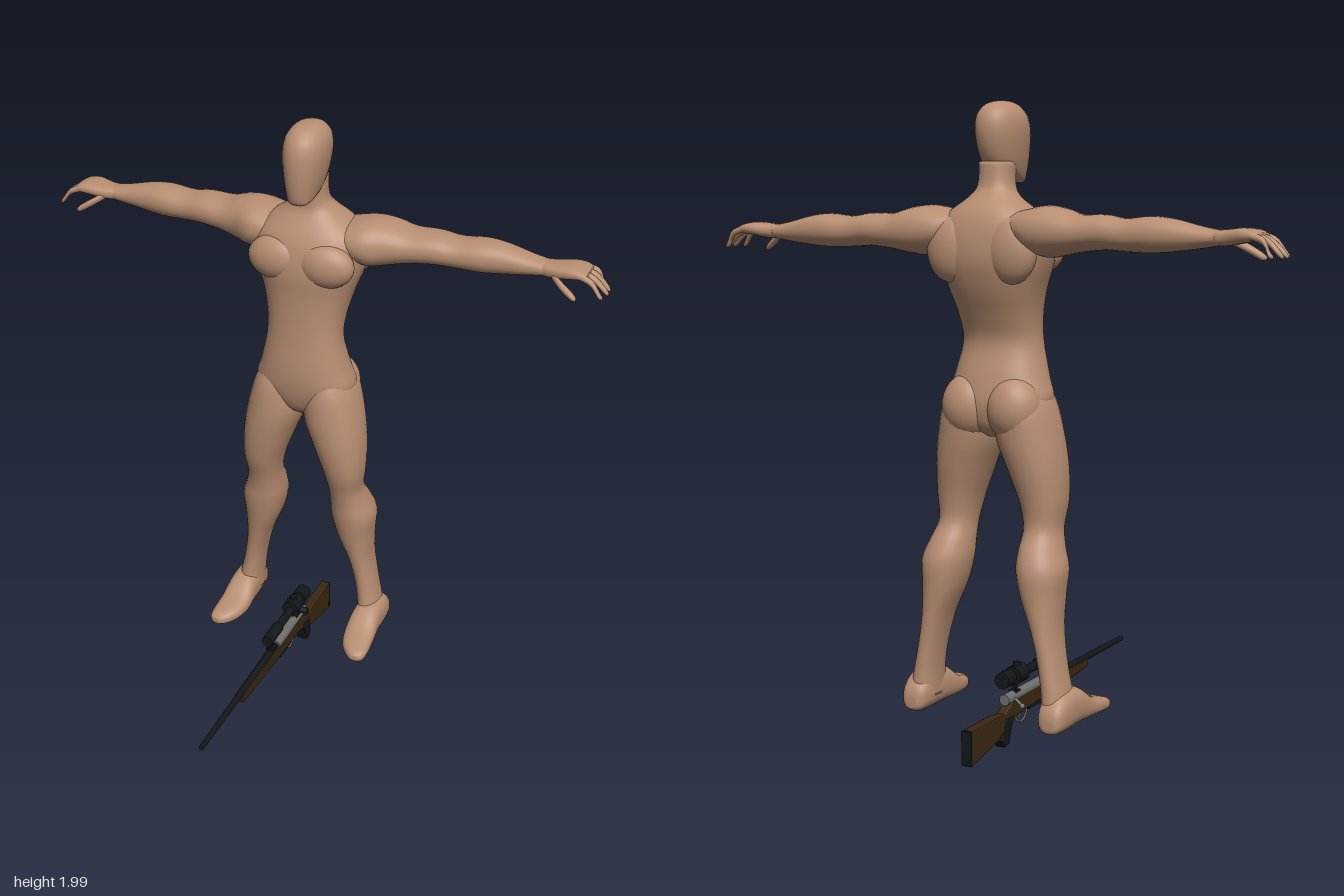
import * as THREE from 'three';

const mat = (name, color) => {
  const m = new THREE.MeshStandardMaterial({ color });
  m.name = name;
  return m;
};

const catmull = (a, b, c, d, t) =>
  b + 0.5 * t * (c - a + t * (2 * a - 5 * b + 4 * c - d + t * (3 * (b - c) + d - a)));

// Smooth closed skin through rows [position on axis, u0, u1, v0, v1].
// Axis y: u = x, v = z.  Axis x: u = y, v = z.  Axis z: u = x, v = y.
function loft(axis, rows, { mirror = 1, n = 2.2, sides = 28, steps = 4 } = {}) {
  const place = {
    x: (p, u, v) => [p, u, v],
    y: (p, u, v) => [u, p, v],
    z: (p, u, v) => [u, v, p],
  }[axis];
  const at = (i) => rows[Math.max(0, Math.min(rows.length - 1, i))];
  const pos = [], index = [];
  const push = (p, u, v) => {
    const q = place(p, u, v);
    pos.push(q[0] * mirror, q[1], q[2]);
  };
  const rings = (rows.length - 1) * steps + 1;
  for (let r = 0; r < rings; r++) {
    const i = Math.min(Math.floor(r / steps), rows.length - 2), t = r / steps - i;
    const [p, u0, u1, v0, v1] = at(i).map((_, k) => catmull(at(i - 1)[k], at(i)[k], at(i + 1)[k], at(i + 2)[k], t));
    for (let s = 0; s < sides; s++) {
      const a = (s / sides) * Math.PI * 2, c = Math.cos(a), d = Math.sin(a);
      const e = (w) => Math.sign(w) * Math.abs(w) ** (2 / n);
      push(p, (u0 + u1) / 2 + (u1 - u0) / 2 * e(c), (v0 + v1) / 2 + (v1 - v0) / 2 * e(d));
    }
  }
  for (const row of [rows[0], rows[rows.length - 1]]) push(row[0], (row[1] + row[2]) / 2, (row[3] + row[4]) / 2);
  const flip = (axis === 'y') !== (mirror < 0) !== (rows[0][0] > rows[rows.length - 1][0]);
  const tri = (a, b, c) => (flip ? index.push(a, c, b) : index.push(a, b, c));
  const last = (rings - 1) * sides, cap = rings * sides;
  for (let s = 0; s < sides; s++) {
    const s1 = (s + 1) % sides;
    for (let r = 0; r < rings - 1; r++) {
      const a = r * sides + s, b = r * sides + s1;
      tri(a, b, b + sides);
      tri(a, b + sides, a + sides);
    }
    tri(cap, s1, s);
    tri(cap + 1, last + s, last + s1);
  }
  const g = new THREE.BufferGeometry();
  g.setAttribute('position', new THREE.Float32BufferAttribute(pos, 3));
  g.setIndex(index);
  g.computeVertexNormals();
  return g;
}

export function createModel() {
  const model = new THREE.Group();
  const skin = mat('skin', 0xb88e72), wood = mat('dark wood', 0x3b2811);
  const black = mat('black metal', 0x14171a), steel = mat('steel', 0x6e6e6c);
  const figure = new THREE.Group(), rifle = new THREE.Group();
  figure.name = 'figure';
  rifle.name = 'rifle';
  model.add(figure, rifle);
  const add = (parent, name, geometry, material) => {
    const m = new THREE.Mesh(geometry, material);
    m.name = name;
    parent.add(m);
    return m;
  };
  const sym = (y, w, front, back) => [y, -w, w, back, front];

  // Head, with a plain pointed face
  add(figure, 'head', loft('y', [
    sym(1.757, 0.022, -0.195, -0.225), sym(1.767, 0.038, -0.183, -0.27), sym(1.8, 0.052, -0.175, -0.345),
    sym(1.85, 0.063, -0.171, -0.377), sym(1.91, 0.07, -0.173, -0.39), sym(1.955, 0.065, -0.187, -0.383),
    sym(1.985, 0.046, -0.218, -0.355), sym(1.997, 0.025, -0.25, -0.32), sym(2.0, 0.006, -0.275, -0.29),
  ]), skin);

  // Torso and neck
  add(figure, 'torso', loft('y', [
    sym(0.995, 0.02, -0.25, -0.36), sym(1.03, 0.09, -0.21, -0.40), sym(1.1, 0.168, -0.187, -0.415),
    sym(1.18, 0.15, -0.181, -0.4), sym(1.28, 0.128, -0.187, -0.375), sym(1.36, 0.131, -0.19, -0.4),
    sym(1.44, 0.15, -0.19, -0.435), sym(1.52, 0.178, -0.186, -0.458), sym(1.59, 0.19, -0.197, -0.458),
    sym(1.64, 0.175, -0.216, -0.448), sym(1.68, 0.13, -0.24, -0.43), sym(1.715, 0.08, -0.26, -0.4),
    sym(1.75, 0.056, -0.262, -0.375), sym(1.82, 0.052, -0.255, -0.37),
  ], { sides: 40, n: 2.3 }), skin);

  for (const [side, mirror] of [['left', 1], ['right', -1]]) {
    const part = (name, axis, rows, opts) => add(figure, side + name, loft(axis, rows, { mirror, ...opts }), skin);
    const muscle = (name, p, r) => {
      const m = add(figure, side + name, new THREE.SphereGeometry(1, 28, 18), skin);
      m.position.set(p[0] * mirror, p[1], p[2]);
      m.scale.set(...r);
      return m;
    };
    muscle('Chest', [0.082, 1.555, -0.235], [0.098, 0.075, 0.056]);
    muscle('Buttock', [0.078, 1.085, -0.355], [0.088, 0.1, 0.08]);
    muscle('ShoulderBlade', [0.1, 1.56, -0.41], [0.085, 0.1, 0.052]);

    // Leg: thigh, knee, calf and ankle
    part('Leg', 'y', [
      [1.17, 0.03, 0.135, -0.35, -0.22], [1.1, 0.008, 0.174, -0.415, -0.19], [1.0, 0.004, 0.2, -0.415, -0.18],
      [0.9, 0.04, 0.214, -0.4, -0.184], [0.8, 0.077, 0.216, -0.38, -0.2], [0.72, 0.094, 0.208, -0.375, -0.226],
      [0.66, 0.093, 0.224, -0.41, -0.24], [0.6, 0.093, 0.243, -0.434, -0.247], [0.52, 0.112, 0.238, -0.434, -0.262],
      [0.42, 0.153, 0.236, -0.43, -0.283], [0.32, 0.178, 0.25, -0.428, -0.297], [0.23, 0.19, 0.268, -0.43, -0.295],
      [0.16, 0.192, 0.28, -0.435, -0.28],
    ]);
    part('Foot', 'z', [
      [-0.45, 0.225, 0.262, 0.13, 0.165], [-0.437, 0.205, 0.28, 0.118, 0.2], [-0.39, 0.194, 0.29, 0.114, 0.235],
      [-0.3, 0.19, 0.292, 0.116, 0.235], [-0.23, 0.188, 0.297, 0.117, 0.19], [-0.17, 0.203, 0.3, 0.117, 0.17],
      [-0.133, 0.23, 0.296, 0.118, 0.158], [-0.118, 0.252, 0.28, 0.125, 0.145],
    ], { n: 2.5 });

    // Arm from inside the shoulder to the wrist
    part('Arm', 'x', [
      [0.08, 1.6, 1.67, -0.42, -0.28], [0.14, 1.56, 1.682, -0.455, -0.25], [0.2, 1.54, 1.692, -0.466, -0.248],
      [0.26, 1.545, 1.684, -0.466, -0.278], [0.32, 1.557, 1.667, -0.462, -0.298], [0.4, 1.565, 1.667, -0.46, -0.312],
      [0.47, 1.562, 1.657, -0.46, -0.326], [0.55, 1.56, 1.664, -0.463, -0.33], [0.62, 1.565, 1.657, -0.457, -0.343],
      [0.7, 1.575, 1.638, -0.445, -0.356], [0.76, 1.584, 1.627, -0.438, -0.362],
    ]);
    part('Palm', 'x', [
      [0.73, 1.585, 1.627, -0.436, -0.366], [0.78, 1.584, 1.63, -0.442, -0.352], [0.83, 1.592, 1.635, -0.455, -0.345],
      [0.865, 1.597, 1.631, -0.456, -0.345], [0.885, 1.6, 1.622, -0.45, -0.352],
    ], { n: 2.6 });

    // Digits: knuckle, middle and tip as [x, y, z]
    const digit = (name, pts, r) => part(name, 'x', pts.map(([x, y, z], i) => {
      const w = r * [0.9, 1, 0.92, 0.35][i];
      return [x, y - w, y + w, z - w, z + w];
    }), { sides: 12, n: 2 });
    [[0.93, -0.444, -0.45], [0.948, -0.414, -0.42], [0.95, -0.386, -0.388], [0.94, -0.358, -0.35]].forEach(([tip, z0, z1], i) =>
      digit('Finger' + (i + 1), [[0.85, 1.616, z0], [0.9, 1.6, (z0 + z1) / 2], [tip - 0.012, 1.567, z1], [tip, 1.557, z1]], 0.0115));
    digit('Thumb', [[0.775, 1.6, -0.368], [0.81, 1.58, -0.343], [0.85, 1.556, -0.33], [0.865, 1.55, -0.327]], 0.0135);
  }

  // Rifle lies along z, slightly off centre
  rifle.position.x = -0.008;
  const rod = (name, r0, r1, z0, z1, y, material) => {
    const m = add(rifle, name, new THREE.CylinderGeometry(r1, r0, Math.abs(z1 - z0), 20).rotateX(Math.PI / 2), material);
    m.position.set(0, y, (z0 + z1) / 2);
    return m;
  };
  const box = (name, w, h, d, y, z, material) => {
    const m = add(rifle, name, new THREE.BoxGeometry(w, h, d), material);
    m.position.set(0, y, z);
    return m;
  };
  const plate = (name, pts, width, material) => {
    const bevel = 0.006;
    const g = new THREE.ExtrudeGeometry(new THREE.Shape(pts.map((p) => new THREE.Vector2(...p))), {
      depth: width - 2 * bevel, bevelThickness: bevel, bevelSize: bevel, bevelOffset: -bevel, bevelSegments: 2,
    });
    return add(rifle, name, g.translate(0, 0, bevel - width / 2).rotateY(-Math.PI / 2), material);
  };
  plate('stock', [
    [0.24, 0.145], [-0.08, 0.148], [-0.27, 0.14], [-0.32, 0.112], [-0.37, 0.118], [-0.522, 0.118],
    [-0.522, 0.006], [-0.37, 0.038], [-0.31, 0.06], [-0.25, 0.088], [-0.1, 0.098], [0.05, 0.106], [0.24, 0.121],
  ], 0.036, wood);
  plate('grip', [[-0.265, 0.1], [-0.325, 0.1], [-0.34, 0.03], [-0.325, 0.006], [-0.3, 0.012], [-0.29, 0.05]], 0.04, black);
  box('buttPlate', 0.034, 0.108, 0.01, 0.062, -0.525, black);
  rod('barrel', 0.013, 0.009, -0.08, 0.53, 0.147, black);
  rod('receiver', 0.018, 0.018, -0.3, -0.06, 0.15, steel);
  box('magazine', 0.026, 0.02, 0.09, 0.095, -0.12, black);

  // Trigger, guard and bolt
  const guard = add(rifle, 'triggerGuard', new THREE.TorusGeometry(0.03, 0.0035, 8, 28).rotateY(Math.PI / 2), steel);
  guard.position.set(0, 0.083, -0.195);
  guard.scale.z = 1.2;
  box('trigger', 0.006, 0.03, 0.006, 0.08, -0.2, steel);
  const bolt = add(rifle, 'boltHandle', new THREE.CylinderGeometry(0.005, 0.005, 0.04, 10), steel);
  bolt.position.set(-0.026, 0.14, -0.26);
  bolt.rotation.z = -0.9;
  add(rifle, 'boltKnob', new THREE.SphereGeometry(0.009, 12, 8), steel).position.set(-0.042, 0.127, -0.26);

  // Scope with turrets and mounts
  rod('scopeObjective', 0.02, 0.02, -0.085, 0.01, 0.212, black);
  rod('scopeTube', 0.015, 0.015, -0.29, -0.06, 0.212, black);
  rod('scopeTurretHousing', 0.03, 0.03, -0.25, -0.19, 0.216, black);
  rod('scopeEyepiece', 0.026, 0.026, -0.315, -0.265, 0.216, black);
  const sideKnob = add(rifle, 'sideTurret', new THREE.CylinderGeometry(0.012, 0.012, 0.05, 16).rotateZ(Math.PI / 2), black);
  sideKnob.position.set(0.03, 0.205, -0.22);
  const topKnob = add(rifle, 'topTurret', new THREE.CylinderGeometry(0.012, 0.012, 0.04, 16), black);
  topKnob.position.set(0, 0.235, -0.22);
  for (const z of [-0.025, -0.235]) {
    box('scopeMount', 0.012, 0.045, 0.016, 0.178, z, black);
    box('mountFoot', 0.026, 0.01, 0.03, 0.163, z, black);
  }
  return model;
}
